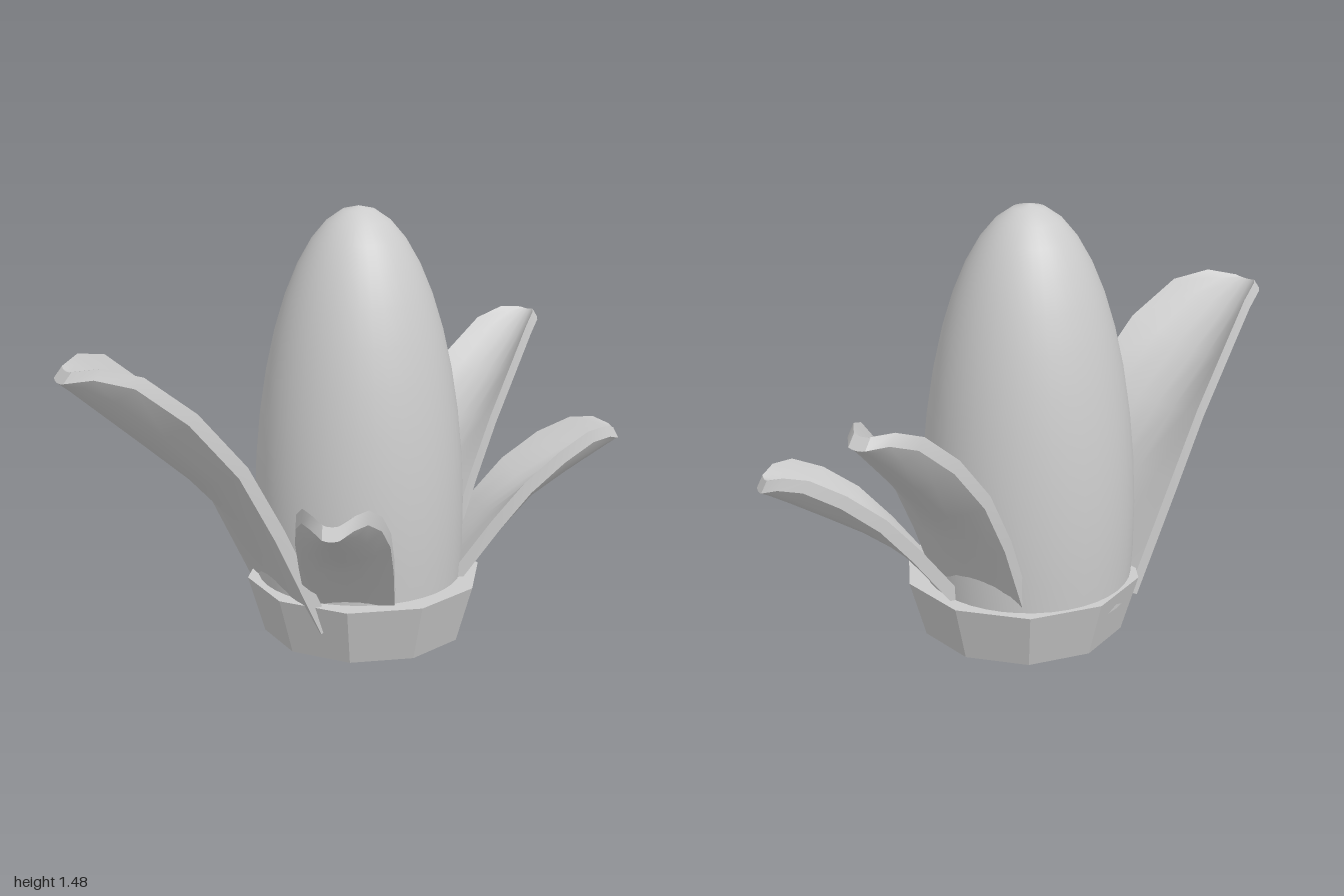
import * as THREE from 'three';

const grey = () => new THREE.MeshStandardMaterial({ color: 0xcccccc });

// Leaf stations from base to tip: outward, up (from the base), half width, edge lift
const stations = [
  [0, 0, 0.168, 0],
  [0.16, 0.31, 0.175, 0.015],
  [0.3, 0.465, 0.172, 0.06],
  [0.45, 0.605, 0.152, 0.085],
  [0.575, 0.72, 0.115, 0.08],
  [0.64, 0.78, 0.075, 0.045],
  [0.67, 0.805, 0.03, 0.005],
];

// Thick cupped leaf: a box whose vertices follow the stations
function leafGeometry(length, tilt, width) {
  const last = stations.length - 1;
  const c = Math.cos(tilt), s = Math.sin(tilt);
  const mid = stations.map(([r, y]) => [length * (r * c + y * s), length * (y * c - r * s)]);
  const geo = new THREE.BoxGeometry(2, 1, 1, 6, 1, last);
  const pos = geo.attributes.position;
  for (let i = 0; i < pos.count; i++) {
    const k = Math.round((pos.getZ(i) + 0.5) * last);
    const t = pos.getX(i);
    const a = mid[Math.max(k - 1, 0)], b = mid[Math.min(k + 1, last)];
    const dr = b[0] - a[0], dy = b[1] - a[1], len = Math.hypot(dr, dy);
    // offset along the inward/upward normal: thickness plus raised edges
    const off = (pos.getY(i) + 0.5) * 0.045 + stations[k][3] * width * t * t;
    pos.setXYZ(i, t * stations[k][2] * width, mid[k][1] + (dr / len) * off, mid[k][0] - (dy / len) * off);
  }
  geo.computeVertexNormals();
  return geo;
}

export function createModel() {
  const model = new THREE.Group();
  const plant = new THREE.Group();
  plant.name = 'plant';
  plant.position.set(0.04, 0, -0.09);
  model.add(plant);

  // Ten-sided base cup, flat faces to front and back
  const cupGeo = new THREE.CylinderGeometry(0.41, 0.352, 0.2, 10);
  cupGeo.rotateY(Math.PI / 10);
  const cupMat = grey();
  cupMat.flatShading = true;
  const cup = new THREE.Mesh(cupGeo, cupMat);
  cup.name = 'baseCup';
  cup.position.set(0, 0.1, 0.024);
  plant.add(cup);

  // Smooth elongated bud
  const profile = [];
  for (let i = 0; i <= 12; i++) {
    const a = -0.25 + (Math.PI / 2 + 0.25) * (i / 12);
    profile.push(new THREE.Vector2(i === 12 ? 0 : 0.362 * Math.cos(a), 0.4 + 1.083 * Math.sin(a)));
  }
  const bud = new THREE.Mesh(new THREE.LatheGeometry(profile, 40), grey());
  bud.name = 'bud';
  plant.add(bud);

  // Leaves: name, direction (x, z), length, outward tilt, width, base radius, base height
  const leaves = [
    ['leftLeaf', 0.95, -0.01, 1, 0, 1, 0.28, 0.15],
    ['frontLeftLeaf', 0.76, 0.54, 0.743, 0.227, 0.88, 0.31, 0.16],
    ['frontRightLeaf', -0.72, 0.58, 0.743, 0.227, 0.88, 0.31, 0.16],
    ['largeRightLeaf', -1.01, -0.325, 1.144, 0.02, 1.52, 0.28, 0.1],
  ];
  for (const [name, x, z, length, tilt, width, r, y] of leaves) {
    const geo = leafGeometry(length, tilt, width);
    geo.translate(0, y, r);
    const leaf = new THREE.Mesh(geo, grey());
    leaf.name = name;
    leaf.rotation.y = Math.atan2(x, z);
    plant.add(leaf);
  }
  return model;
}
